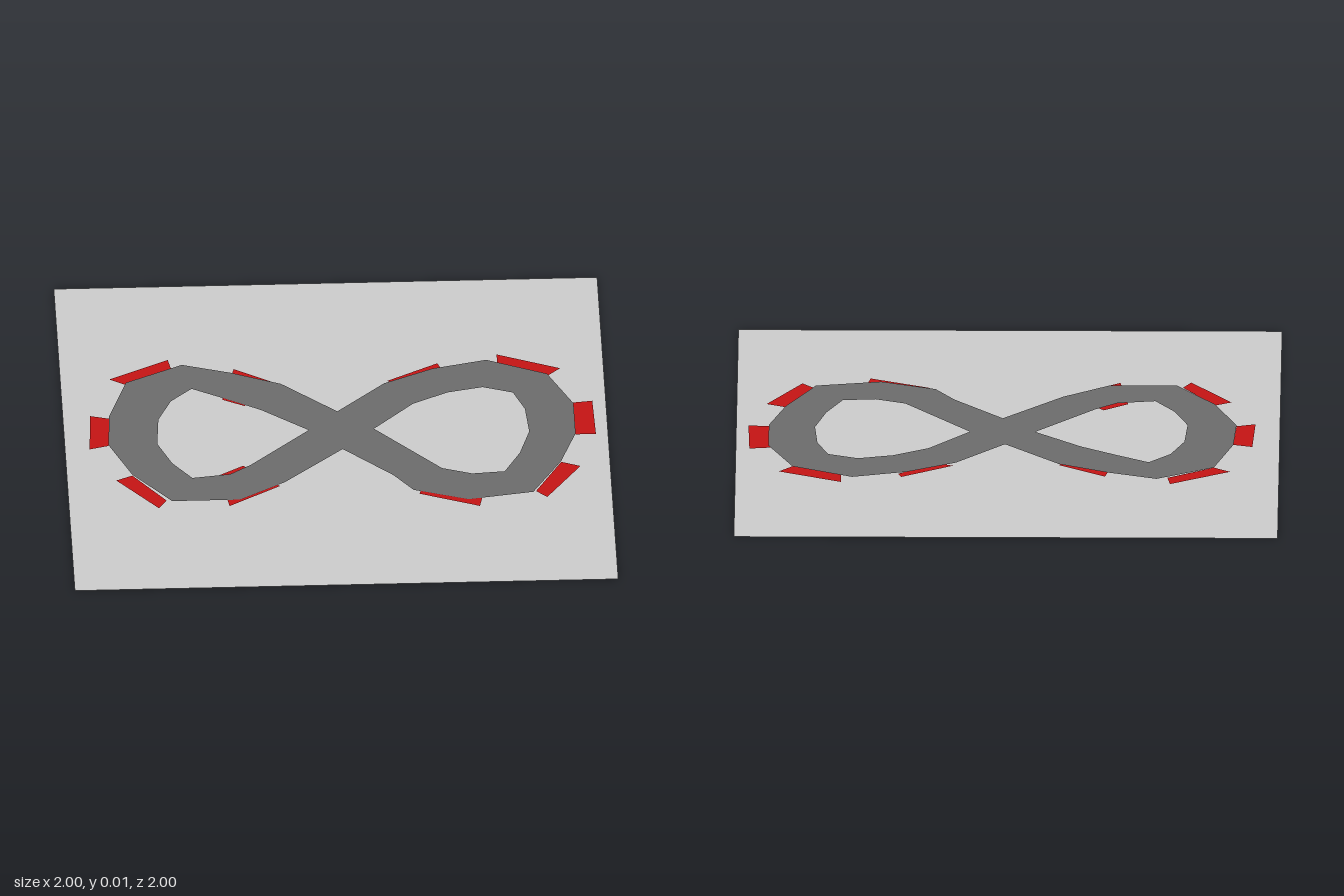
import * as THREE from 'three';

// Outlines are [x, z] pairs in hundredths of a unit
const OUTER = [[1, -13], [-19, -32], [-37, -40], [-55, -46], [-76, -35], [-83, -13], [-84, 6], [-76, 26],
  [-62, 44], [-37, 44], [-20, 33], [2, 12], [20, 30], [27, 40], [47, 47], [71, 43], [82, 23], [88, 5],
  [88, -15], [79, -35], [57, -45], [37, -40], [19, -31]];
const LEFT_HOLE = [[-10, -1], [-27, -15], [-40, -23], [-52, -30], [-60, -22], [-65, -10], [-66, 6],
  [-61, 19], [-54, 29], [-40, 27], [-32, 21]];
const RIGHT_HOLE = [[14, -1], [29, -17], [42, -24], [55, -27], [66, -23], [70, -12], [71, 3],
  [67, 17], [61, 29], [49, 30], [38, 26]];

// One kerb slab per bend, tucked partly under the road
const KERBS = [
  [[-82, -38], [-60, -50], [-59, -44], [-76, -34]],
  [[-36, -43], [-19, -32], [-33, -18.5], [-41, -23]],
  [[20, -33], [39, -44], [40, -41], [27, -30]],
  [[61, -49], [84, -39], [79, -34], [61, -42]],
  [[87, -16], [95, -17], [95.5, 5], [88, 5]],
  [[82, 23], [89, 26], [76, 46], [72, 42]],
  [[29, 42], [51, 51], [52, 46], [31, 37]],
  [[-41, 47.5], [-22, 35], [-35, 21], [-44, 27]],
  [[-82, 29], [-76, 26], [-64, 43], [-67, 48]],
  [[-90, -14], [-83, -12], [-84, 6], [-91, 8]],
];

const toPoints = (pairs) => pairs.map(([x, z]) => new THREE.Vector2(x / 100, -z / 100));

// Flat sheet lying at height y, facing up
function sheet(name, outline, holes, y, material) {
  const shape = new THREE.Shape(toPoints(outline));
  shape.holes = holes.map((h) => new THREE.Path(toPoints(h)));
  const mesh = new THREE.Mesh(new THREE.ShapeGeometry(shape).rotateX(-Math.PI / 2), material);
  mesh.position.y = y;
  mesh.name = name;
  return mesh;
}

export function createModel() {
  const group = new THREE.Group();
  group.name = 'raceTrack';
  const paint = (color) => new THREE.MeshStandardMaterial({ color, side: THREE.DoubleSide });

  // Square ground
  group.add(sheet('ground', [[-100, -100], [-100, 100], [100, 100], [100, -100]], [], 0, paint(0xcccccc)));

  // Figure-eight road
  group.add(sheet('road', OUTER, [LEFT_HOLE, RIGHT_HOLE], 0.013, paint(0x6b6b6b)));

  // Red kerbs around the bends
  const kerbs = new THREE.Group();
  kerbs.name = 'kerbs';
  const red = paint(0xc41414);
  KERBS.forEach((k, i) => kerbs.add(sheet(`kerb${i + 1}`, k, [], 0.009, red)));
  group.add(kerbs);
  return group;
}
